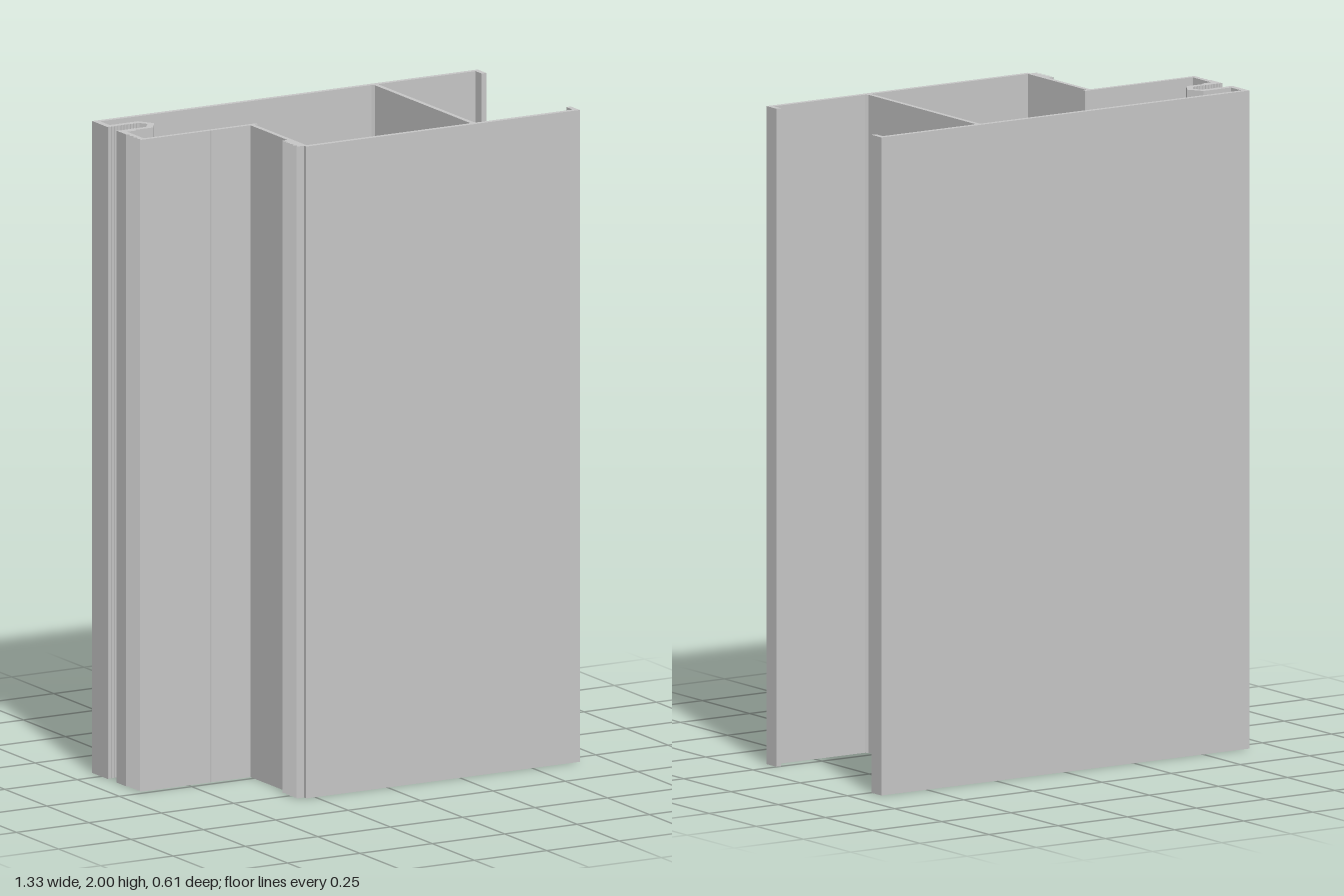
import * as THREE from 'three';

const HEIGHT = 2;

// Sawtooth run from a to b; (dx, dz) is the offset of each notch between teeth
function teeth(a, b, count, dx, dz) {
  const pts = [a];
  for (let i = 0; i < count; i++) {
    const at = (t) => [a[0] + (b[0] - a[0]) * t, a[1] + (b[1] - a[1]) * t];
    const mid = at((i + 0.5) / count);
    pts.push([mid[0] + dx, mid[1] + dz], at((i + 1) / count));
  }
  return pts;
}

const toPoints = (list) => list.map(([x, z]) => new THREE.Vector2(x, z));

export function createModel() {
  const group = new THREE.Group();
  group.name = 'framingProfile';
  const aluminium = new THREE.MeshStandardMaterial({ color: 0xc6c6c6 });
  aluminium.name = 'light grey aluminium';

  // Outer contour of the cross-section, as [x, z]
  const outer = [
    // back wall and its lip
    [-0.667, -0.304], [0.664, -0.304], [0.664, -0.252], [0.648, -0.252], [0.648, -0.288],
    // open channel beside the web, with small fillets
    [0.318, -0.288], [0.311, -0.281], [0.311, 0.281], [0.318, 0.288],
    // front lip and front wall
    [0.648, 0.288], [0.648, 0.251], [0.664, 0.251], [0.664, 0.304],
    [-0.281, 0.304], [-0.281, 0.291],
    // serrated pad on the stepped wall
    ...teeth([-0.307, 0.291], [-0.307, 0.207], 4, 0.008, 0),
    [-0.302, 0.201], [-0.286, 0.201], [-0.286, -0.019],
    // shelf with its marking groove
    [-0.418, -0.019], [-0.4205, -0.021], [-0.423, -0.019],
    // serrated left wall
    ...teeth([-0.667, -0.019], [-0.667, -0.103], 4, 0.008, 0),
    // toothed gasket groove
    ...teeth([-0.667, -0.16], [-0.564, -0.16], 10, 0, 0.004),
    [-0.543, -0.188],
    ...teeth([-0.558, -0.211], [-0.667, -0.211], 10, 0, -0.004),
  ];

  // Closed inner chamber
  const chamber = [
    [-0.648, -0.288], [0.289, -0.288], [0.296, -0.281], [0.296, 0.281], [0.289, 0.288],
    [-0.271, 0.288], [-0.271, -0.019], [-0.262, -0.019],
    [-0.259, -0.022], [-0.259, -0.03], [-0.262, -0.033],
    [-0.642, -0.033], [-0.646, -0.037], [-0.646, -0.131], [-0.615, -0.131], [-0.611, -0.14],
    [-0.55, -0.14], [-0.521, -0.188], [-0.55, -0.233], [-0.648, -0.233],
  ];

  const section = new THREE.Shape(toPoints(outer));
  section.holes.push(new THREE.Path(toPoints(chamber)));

  // Extrude, then stand the bar upright on y = 0
  const geometry = new THREE.ExtrudeGeometry(section, { depth: HEIGHT, bevelEnabled: false });
  geometry.rotateX(Math.PI / 2);
  geometry.translate(0, HEIGHT, 0);

  const bar = new THREE.Mesh(geometry, aluminium);
  bar.name = 'extrudedBar';
  group.add(bar);
  return group;
}
